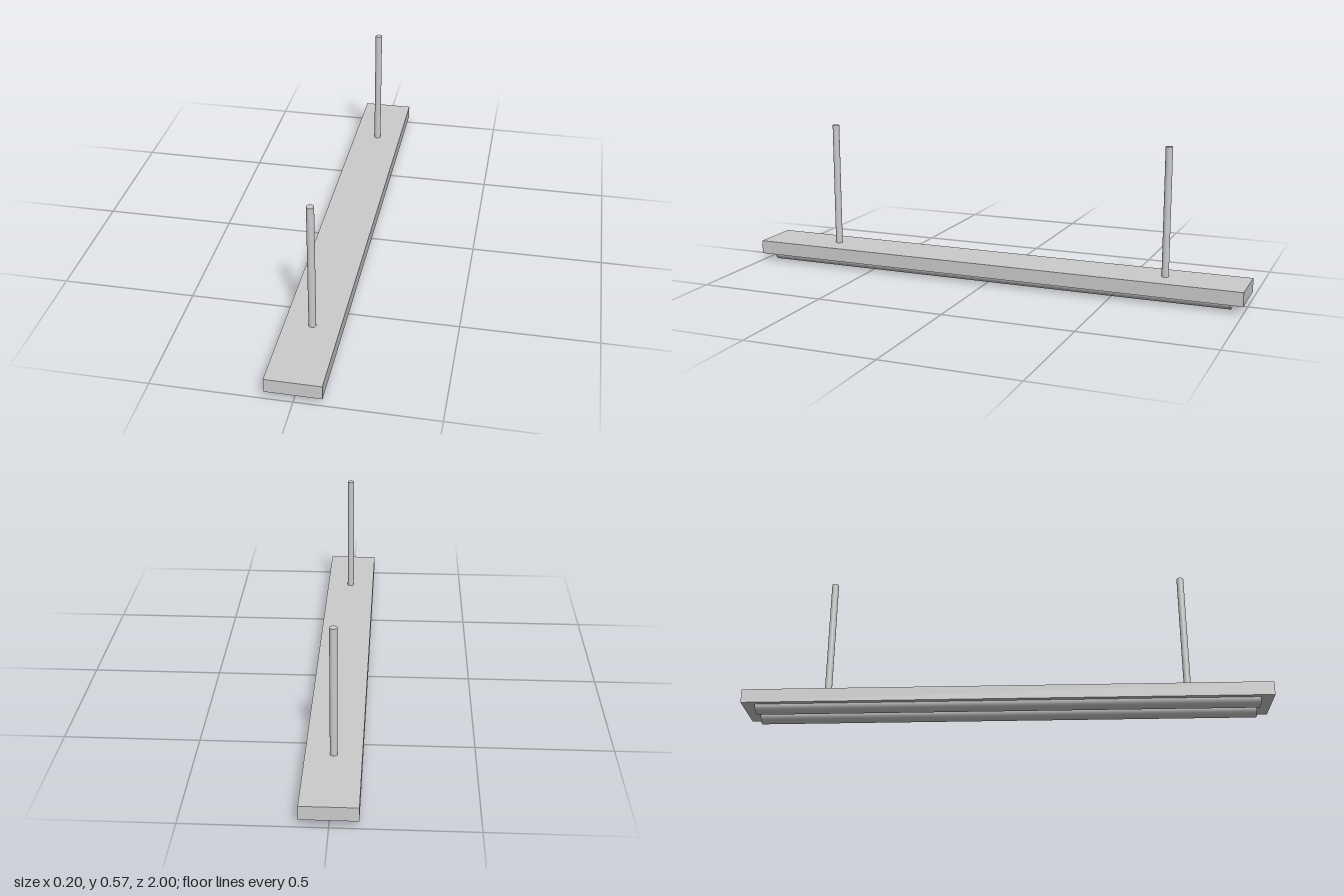
import * as THREE from 'three';

// Twin-tube linear lamp hung from two ceiling rods
export function createModel() {
  const model = new THREE.Group();
  model.name = 'pendantLamp';
  const material = new THREE.MeshStandardMaterial({ color: 0xcccccc });

  const add = (name, geometry, x, y, z) => {
    const mesh = new THREE.Mesh(geometry, material);
    mesh.name = name;
    mesh.position.set(x, y, z);
    model.add(mesh);
    return mesh;
  };

  // Flat housing running front to back
  const bottom = 0.029, top = 0.082;
  add('housing', new THREE.BoxGeometry(0.2, top - bottom, 2), 0, (bottom + top) / 2, 0);

  // Light tubes half sunk into the underside
  const tubeRadius = 0.0305;
  const tube = new THREE.CylinderGeometry(tubeRadius, tubeRadius, 1.9, 32).rotateX(Math.PI / 2);

  // Suspension rods, slightly embedded in the housing
  const rodTop = 0.573, rodBase = top - 0.01;
  const rod = new THREE.CylinderGeometry(0.0135, 0.0135, rodTop - rodBase, 32);

  for (const side of [1, -1]) {
    add(side > 0 ? 'leftTube' : 'rightTube', tube, side * 0.05, tubeRadius, 0);
    add(side > 0 ? 'frontRod' : 'backRod', rod, 0, (rodTop + rodBase) / 2, side * 0.69);
  }
  return model;
}
